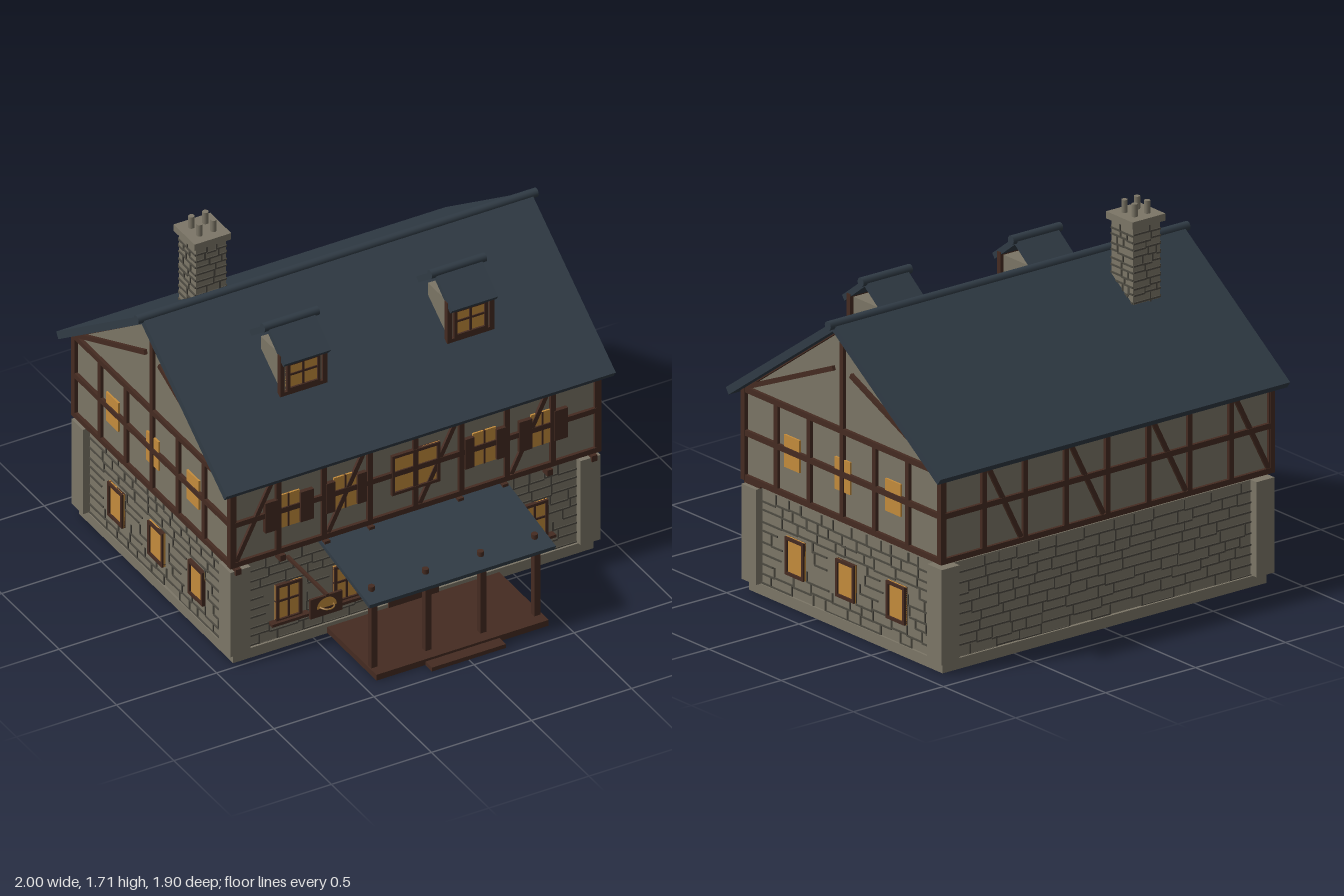
import * as THREE from 'three';
import { mergeGeometries } from 'three/addons/utils/BufferGeometryUtils.js';

const material = (name, color) => Object.assign(new THREE.MeshStandardMaterial({ color }), { name });

export function createModel() {
  const stone = material('stone', 0x7c7667), mortar = material('mortar', 0x4e4b42);
  const plaster = material('plaster', 0x7b7565), timber = material('timber', 0x452b21);
  const slate = material('slate', 0x303b45), glass = material('amber glass', 0xc48c3c);
  const brass = material('brass', 0x9a6f35);
  const model = new THREE.Group();
  model.name = 'timberFramedInn';

  const add = (parent, name, geo, mat, x = 0, y = 0, z = 0) => {
    const m = new THREE.Mesh(geo, mat);
    m.name = name;
    m.position.set(x, y, z);
    parent.add(m);
    return m;
  };
  const box = (parent, name, mat, w, h, d, x, y, z) =>
    add(parent, name, new THREE.BoxGeometry(w, h, d), mat, x, y, z);
  const group = (name, x = 0, y = 0, z = 0, ry = 0) => {
    const g = new THREE.Group();
    g.name = name;
    g.position.set(x, y, z);
    g.rotation.y = ry;
    model.add(g);
    return g;
  };
  // Straight timber between two points on a wall face
  const beam = (parent, name, x0, y0, x1, y1, t = 0.025, d = 0.03) => {
    const m = box(parent, name, timber, Math.hypot(x1 - x0, y1 - y0), t, d, (x0 + x1) / 2, (y0 + y1) / 2, 0);
    m.rotation.z = Math.atan2(y1 - y0, x1 - x0);
  };
  // Slab sloping down along z from one (z, y) point to another
  const slope = (parent, name, w, t, z0, y0, z1, y1, x = 0) => {
    const m = box(parent, name, slate, w, t, Math.hypot(z1 - z0, y1 - y0), x, (y0 + y1) / 2, (z0 + z1) / 2);
    m.rotation.x = -Math.atan2(y1 - y0, z1 - z0);
  };
  const rod = (parent, name, mat, r, h, x, y, z, sides = 12) =>
    add(parent, name, new THREE.CylinderGeometry(r, r, h, sides), mat, x, y, z);

  let seed = 7;
  const random = () => (seed = (seed * 16807) % 2147483647) / 2147483647;
  // Mortar joints as thin strips, left out inside the given [x, y, halfW, halfH] areas
  const masonry = (parent, w, y0, y1, rows, brick, holes = []) => {
    const strips = [], rowH = (y1 - y0) / rows, t = 0.008;
    const strip = (sw, sh, x, y) => strips.push(new THREE.BoxGeometry(sw, sh, 0.008).translate(x, y, 0));
    for (let r = 0; r < rows; r++) {
      const y = y0 + r * rowH;
      for (let x = -w / 2; x < w / 2 - 0.01;) {
        let len = brick * (0.6 + 0.8 * random());
        if (x + len > w / 2 - brick * 0.3) len = w / 2 - x;
        const cx = x + len / 2, cy = y + rowH / 2;
        if (!holes.some(([hx, hy, hw, hh]) => Math.abs(cx - hx) < hw + len / 2 && Math.abs(cy - hy) < hh + rowH / 2)) {
          strip(len, t, cx, y + (random() - 0.5) * 0.012);
          if (x > -w / 2) strip(t, rowH, x, cy);
        }
        x += len;
      }
    }
    add(parent, 'mortarJoints', mergeGeometries(strips), mortar);
  };
  // Framed window: pane, surround, optional glazing bars and sill
  const window_ = (parent, x, y, w, h, bars, sill, z = 0) => {
    const t = 0.014;
    box(parent, 'windowPane', glass, w, h, 0.008, x, y, z + 0.004);
    for (const s of [-1, 1]) {
      box(parent, 'windowJamb', timber, t, h, 0.02, x + s * (w - t) / 2, y, z + 0.007);
      box(parent, 'windowRail', timber, w, t, 0.02, x, y + s * (h - t) / 2, z + 0.007);
    }
    if (bars) {
      box(parent, 'glazingBar', timber, 0.01, h, 0.014, x, y, z + 0.006);
      box(parent, 'glazingBar', timber, w, 0.01, 0.014, x, y + h * 0.05, z + 0.006);
    }
    if (sill) box(parent, 'windowSill', timber, w + 0.06, 0.014, 0.035, x, y - h / 2, z + 0.015);
  };

  // Ground floor in stone
  box(model, 'stoneBase', stone, 1.8, 0.05, 1.34, 0, 0.025, -0.2);
  box(model, 'stoneWalls', stone, 1.78, 0.44, 1.31, 0, 0.27, -0.2);
  for (const x of [-0.875, 0.875]) for (const z of [0.44, -0.845])
    box(model, 'cornerPier', stone, 0.1, 0.44, 0.1, x, 0.27, z);

  const front = group('groundFloorFront', 0, 0, 0.456);
  const frontX = [-0.62, -0.33, 0.325, 0.61];
  masonry(front, 1.66, 0.05, 0.485, 9, 0.11,
    [...frontX.map(x => [x, 0.235, 0.065, 0.08]), [0, 0.17, 0.13, 0.2]]);
  for (const x of frontX) window_(front, x, 0.235, 0.13, 0.19, true, true);
  masonry(group('groundFloorBack', 0, 0, -0.856, Math.PI), 1.66, 0.05, 0.485, 9, 0.13);
  for (const s of [-1, 1]) {
    const side = group('groundFloorSide', s * 0.891, 0, -0.2, s * Math.PI / 2);
    masonry(side, 1.19, 0.05, 0.485, 9, 0.11, [-0.35, 0, 0.35].map(x => [x, 0.235, 0.06, 0.08]));
    for (const x of [-0.35, 0, 0.35]) window_(side, x, 0.235, 0.128, 0.175, false, false);
  }

  // Front door with iron bands
  const door = group('door', 0, 0, 0.46);
  box(door, 'doorLeaf', timber, 0.25, 0.3, 0.03, 0, 0.18, 0);
  for (const y of [0.1, 0.19, 0.275]) box(door, 'doorBand', slate, 0.23, 0.018, 0.008, 0, y, 0.018);
  box(door, 'doorHandle', slate, 0.07, 0.008, 0.012, 0, 0.145, 0.02);
  for (const x of [-0.275, 0.27]) {
    box(model, 'wallLantern', glass, 0.026, 0.036, 0.03, x, 0.33, 0.485);
    box(model, 'lanternCap', timber, 0.032, 0.008, 0.036, x, 0.352, 0.485);
  }

  // Upper storey with gable ends
  const gable = new THREE.Shape([[-0.68, 0.515], [0.68, 0.515], [0.68, 0.925], [0, 1.4], [-0.68, 0.925]]
    .map(p => new THREE.Vector2(...p)));
  const upper = add(model, 'upperWalls', new THREE.ExtrudeGeometry(gable, { depth: 1.82, bevelEnabled: false }),
    plaster, -0.91, 0, -0.2);
  upper.rotation.y = Math.PI / 2;
  for (let i = 0; i < 9; i++)
    if (i !== 4) box(model, 'joistEnd', timber, 0.028, 0.03, 0.11, -0.89 + i * 0.2225, 0.488, 0.445);

  // Timber frame: rails and evenly spaced posts on each face
  const frame = (face, w, bays) => {
    for (const y of [0.525, 0.732, 0.932]) beam(face, 'rail', -w / 2, y, w / 2, y, 0.026);
    for (let i = 0; i <= bays; i++) {
      const x = (i / bays - 0.5) * (w - 0.025);
      beam(face, 'post', x, 0.513, x, 0.94);
    }
  };
  for (const s of [1, -1]) {
    const long = group(s > 0 ? 'frontFrame' : 'backFrame', 0, 0, -0.2 + s * 0.68, s > 0 ? 0 : Math.PI);
    frame(long, 1.855, 8);
    for (let i = 0; i < 8; i += 2) {
      const x = -0.915 + i * 0.229;
      beam(long, 'brace', s * (x + 0.02), 0.54, s * (x + 0.21), 0.92, 0.022, 0.026);
    }
    const end = group('gableFrame', s * 0.911, 0, -0.2, s * Math.PI / 2);
    frame(end, 1.385, 6);
    beam(end, 'kingPost', 0, 0.93, 0, 1.4);
    for (const m of [-1, 1]) {
      beam(end, 'gableBrace', m * 0.65, 0.95, m * 0.06, 1.205, 0.022);
      beam(end, 'rafter', m * 0.69, 0.93, 0, 1.41, 0.02);
    }
    for (const x of [-0.35, 0, 0.35]) box(end, 'gableWindow', glass, 0.105, 0.15, 0.009, x, 0.725, 0.004);
  }

  // Upper front windows, shuttered except the wide middle one
  const upperFront = group('upperFrontWindows', 0, 0, 0.48);
  window_(upperFront, 0, 0.728, 0.24, 0.205, true, false);
  for (const x of [-0.635, -0.35, 0.345, 0.635]) {
    box(upperFront, 'windowPane', glass, 0.115, 0.17, 0.009, x, 0.725, 0.004);
    box(upperFront, 'glazingBar', timber, 0.008, 0.17, 0.012, x, 0.725, 0.005);
    const w = Math.abs(x) > 0.5 ? 0.065 : 0.045;
    for (const s of [-1, 1])
      box(upperFront, 'shutter', timber, w, 0.155, 0.022, x + s * (0.056 + w / 2), 0.722, 0.009);
  }

  // Main roof
  const roof = group('mainRoof');
  slope(roof, 'roofSlope', 1.945, 0.035, -0.2, 1.425, 0.53, 0.918);
  slope(roof, 'roofSlope', 1.945, 0.035, -0.2, 1.425, -0.935, 0.918);
  rod(roof, 'ridge', slate, 0.021, 2, 0, 1.435, -0.2).rotation.z = Math.PI / 2;

  // Dormers
  for (const x of [-0.42, 0.415]) {
    const d = group('dormer', x);
    box(d, 'dormerWalls', plaster, 0.2, 0.27, 0.185, 0, 1.2, 0.142);
    window_(d, 0, 1.23, 0.165, 0.145, true, false, 0.235);
    for (const s of [-1, 1]) box(d, 'dormerPost', timber, 0.022, 0.21, 0.024, s * 0.107, 1.245, 0.238);
    box(d, 'dormerLintel', timber, 0.235, 0.03, 0.024, 0, 1.325, 0.238);
    box(d, 'dormerSill', timber, 0.235, 0.018, 0.024, 0, 1.147, 0.238);
    slope(d, 'dormerRoof', 0.23, 0.028, 0.13, 1.43, 0.278, 1.318);
    slope(d, 'dormerRoof', 0.23, 0.028, 0.13, 1.43, -0.018, 1.318);
    rod(d, 'dormerRidge', slate, 0.021, 0.275, 0, 1.438, 0.13).rotation.z = Math.PI / 2;
  }

  // Chimney
  box(model, 'chimneyStack', stone, 0.15, 0.5, 0.15, -0.56, 1.38, -0.39);
  box(model, 'chimneyCap', stone, 0.183, 0.033, 0.183, -0.56, 1.637, -0.39);
  for (let i = 0; i < 4; i++) {
    const a = i * Math.PI / 2;
    masonry(group('chimneyFace', -0.56 + 0.076 * Math.sin(a), 0, -0.39 + 0.076 * Math.cos(a), a), 0.15, 1.2, 1.62, 12, 0.07);
  }
  for (const x of [-0.595, -0.525]) for (const z of [-0.355, -0.425])
    rod(model, 'chimneyPot', stone, 0.014, 0.06, x, 1.682, z);

  // Porch
  const porch = group('porch');
  box(porch, 'deck', timber, 0.86, 0.03, 0.445, 0, 0.017, 0.677);
  box(porch, 'step', timber, 0.37, 0.02, 0.1, 0, 0.01, 0.905);
  slope(porch, 'porchRoof', 0.93, 0.02, 0.42, 0.495, 0.9, 0.398);
  box(porch, 'porchBeam', timber, 0.86, 0.022, 0.025, 0, 0.39, 0.83);
  for (const x of [-0.41, -0.14, 0.135, 0.405]) {
    box(porch, 'porchPost', timber, 0.03, 0.39, 0.03, x, 0.215, 0.83);
    rod(porch, 'roofPeg', timber, 0.015, 0.05, x, 0.42, 0.82);
  }

  // Hanging sign on a bracket, with a half-round emblem and ring
  const sign = group('hangingSign', -0.62, 0, 0.79);
  box(sign, 'signArm', timber, 0.014, 0.014, 0.36, 0, 0.455, -0.165);
  box(sign, 'signBoard', timber, 0.16, 0.1, 0.012, 0, 0.4, 0);
  for (const s of [-1, 1]) {
    const half = add(sign, 'signEmblem', new THREE.CircleGeometry(0.05, 20, 0, Math.PI), glass, 0, 0.392, s * 0.008);
    if (s < 0) half.rotation.y = Math.PI;
  }
  add(sign, 'signRing', new THREE.TorusGeometry(0.033, 0.004, 8, 24), brass, 0, 0.4, 0.008).rotation.x = Math.PI / 2;
  return model;
}
